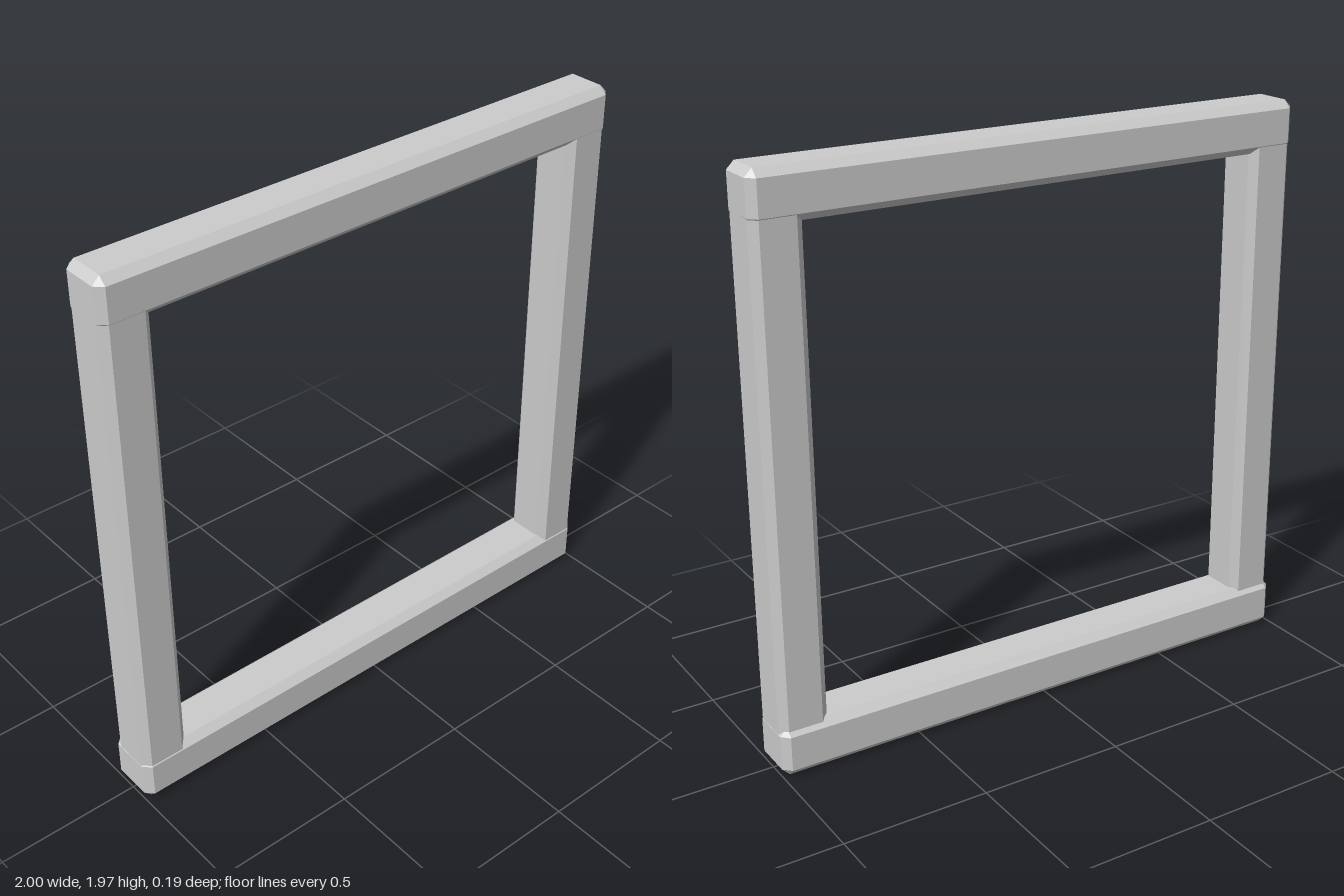
import * as THREE from 'three';
import { ConvexGeometry } from 'three/addons/geometries/ConvexGeometry.js';

const material = new THREE.MeshStandardMaterial({ color: 0xcccccc, flatShading: true });

// Box between two corners with every edge chamfered by c
function chamferedBeam(name, min, max, c = 0.026) {
  const centre = min.map((v, i) => (v + max[i]) / 2);
  const half = min.map((v, i) => (max[i] - v) / 2);
  const points = [];
  for (const sx of [-1, 1]) for (const sy of [-1, 1]) for (const sz of [-1, 1]) {
    const sign = [sx, sy, sz];
    // each corner becomes three points, one on each adjoining face
    for (let face = 0; face < 3; face++) {
      points.push(new THREE.Vector3(...sign.map((s, i) => s * (half[i] - (i === face ? 0 : c)))));
    }
  }
  const mesh = new THREE.Mesh(new ConvexGeometry(points), material);
  mesh.name = name;
  mesh.position.set(...centre);
  return mesh;
}

export function createModel() {
  const frame = new THREE.Group();
  frame.name = 'squareFrame';

  // Horizontal beams; the lower one is slightly deeper at the back
  frame.add(chamferedBeam('bottomBeam', [-1, 0, -0.094], [1, 0.172, 0.094]));
  frame.add(chamferedBeam('topBeam', [-1, 1.8, -0.083], [1, 1.97, 0.094]));

  // Upright posts, with their ends buried in the beams
  for (const [name, x0, x1] of [['rightPost', -0.999, -0.828], ['leftPost', 0.828, 0.999]]) {
    frame.add(chamferedBeam(name, [x0, 0.03, -0.08], [x1, 1.94, 0.091]));
  }
  return frame;
}
